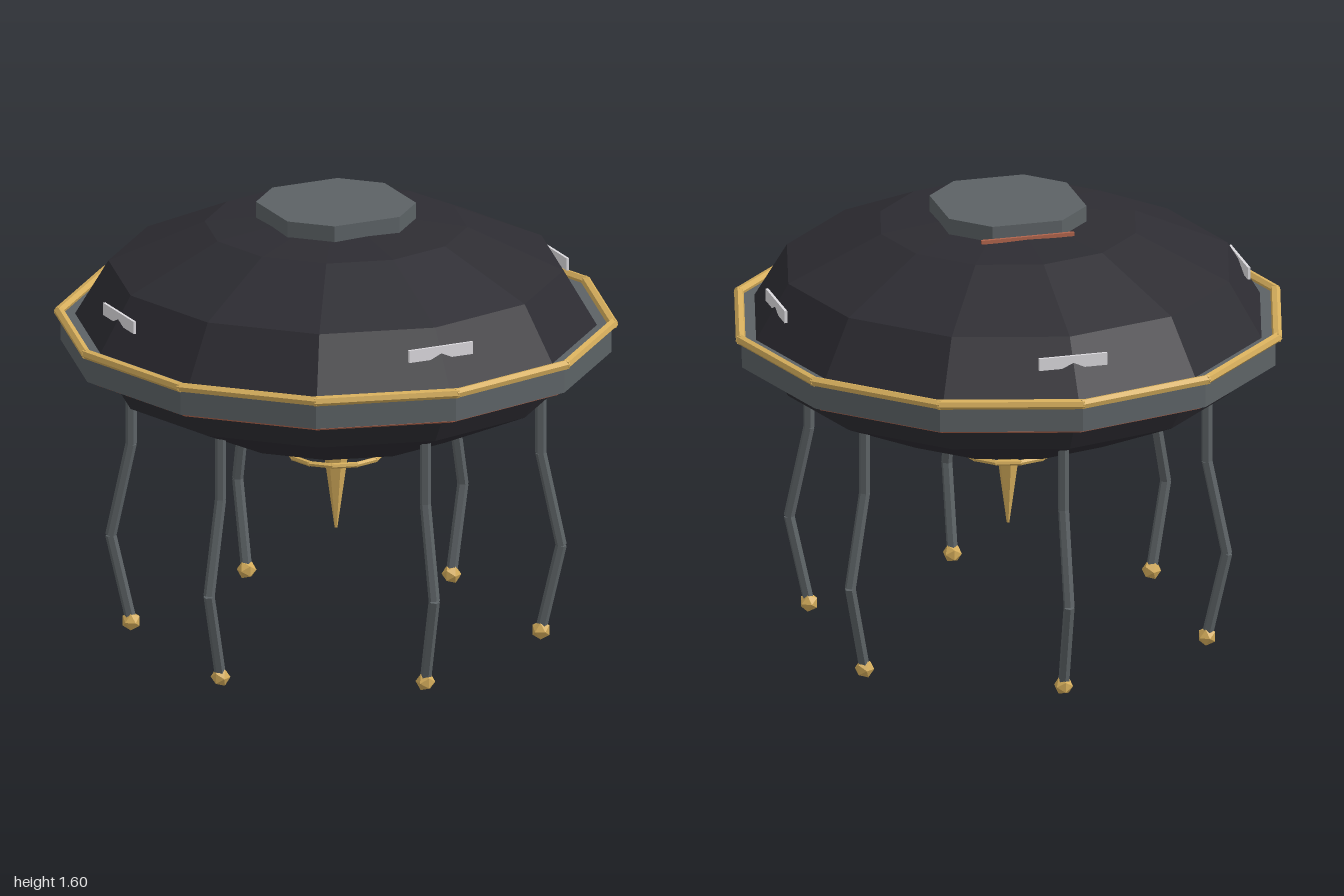
import * as THREE from 'three';

const mat = (name, color) => {
  const m = new THREE.MeshStandardMaterial({ color });
  m.name = name;
  return m;
};

// Faceted normals for the low-poly look
function facet(geo) {
  const g = geo.index ? geo.toNonIndexed() : geo;
  g.computeVertexNormals();
  return g;
}

function part(parent, name, geo, material, x = 0, y = 0, z = 0) {
  const mesh = new THREE.Mesh(facet(geo), material);
  mesh.name = name;
  mesh.position.set(x, y, z);
  parent.add(mesh);
  return mesh;
}

// Straight six-sided rod between two points
function rod(parent, name, a, b, radius, material, extra = 0) {
  const dir = b.clone().sub(a);
  const mid = a.clone().add(b).multiplyScalar(0.5);
  const geo = new THREE.CylinderGeometry(radius, radius, dir.length() + extra, 6);
  const mesh = part(parent, name, geo, material, mid.x, mid.y, mid.z);
  mesh.quaternion.setFromUnitVectors(new THREE.Vector3(0, 1, 0), dir.normalize());
}

// Polygonal hoop made of straight rods
function hoop(parent, name, radius, tube, y, material) {
  const group = new THREE.Group();
  group.name = name;
  const corner = (i) => {
    const a = (i * Math.PI) / 6;
    return new THREE.Vector3(Math.sin(a) * radius, y, Math.cos(a) * radius);
  };
  for (let i = 0; i < 12; i++) {
    rod(group, name + 'Segment', corner(i), corner(i + 1), tube, material, tube * 0.8);
  }
  parent.add(group);
}

export function createModel() {
  const model = new THREE.Group();
  model.name = 'walkingSaucer';

  const hull = mat('dark hull', 0x2d2c32);
  const steel = mat('steel grey', 0x5c6265);
  const gold = mat('gold', 0xd6ae5c);
  const copper = mat('copper', 0xb0644c);
  const pale = mat('pale window', 0xdcdade);

  // Saucer body
  const body = new THREE.SphereGeometry(1, 12, 6);
  body.scale(0.93, 0.42, 0.93);
  part(model, 'saucerBody', body, hull, 0, 1.156, 0);

  // Rim band with its gold and copper trims
  part(model, 'rimBand', new THREE.CylinderGeometry(0.975, 0.975, 0.098, 12), steel, 0, 1.118, 0);
  hoop(model, 'goldRim', 0.98, 0.018, 1.173, gold);
  hoop(model, 'copperTrim', 0.94, 0.009, 1.062, copper);

  // Roof hatch with cut corners, and its hinge strip at the back
  const w = 0.252, c = 0.128;
  const outline = [[w, -c], [w, c], [c, w], [-c, w], [-w, c], [-w, -c], [-c, -w], [c, -w]];
  const hatch = new THREE.ExtrudeGeometry(
    new THREE.Shape(outline.map(([x, y]) => new THREE.Vector2(x, y))),
    { depth: 0.06, bevelEnabled: false }
  );
  hatch.rotateX(-Math.PI / 2);
  part(model, 'roofHatch', hatch, steel, 0, 1.54, 0);
  part(model, 'hatchHinge', new THREE.BoxGeometry(0.34, 0.014, 0.012), copper, 0, 1.548, -0.257);

  // Windows on the four sides
  for (let i = 0; i < 4; i++) {
    const a = (i * Math.PI) / 2;
    const win = part(model, 'window', new THREE.BoxGeometry(0.25, 0.045, 0.0098), pale,
      Math.sin(a) * 0.849, 1.288, Math.cos(a) * 0.849);
    win.rotation.y = a;
  }

  // Six bent legs with gold feet
  const legProfile = [[0.725, 0.95], [0.725, 0.69], [0.797, 0.35], [0.725, 0.035]];
  for (let i = 0; i < 6; i++) {
    const leg = new THREE.Group();
    leg.name = 'leg';
    const pts = legProfile.map(([r, y]) => new THREE.Vector3(0, y, r));
    for (let j = 0; j < 3; j++) {
      rod(leg, 'legSegment', pts[j], pts[j + 1], 0.02, steel);
    }
    part(leg, 'foot', new THREE.IcosahedronGeometry(0.035, 0), gold, 0, 0.033, 0.725);
    leg.rotation.y = (i * Math.PI) / 3;
    model.add(leg);
  }

  // Belly spike and the hoops around it
  part(model, 'bellySpike', new THREE.CylinderGeometry(0.055, 0.005, 0.36, 6), gold, 0, 0.576, 0);
  hoop(model, 'upperHoop', 0.287, 0.01, 0.757, gold);
  hoop(model, 'lowerHoop', 0.167, 0.01, 0.676, gold);

  return model;
}
